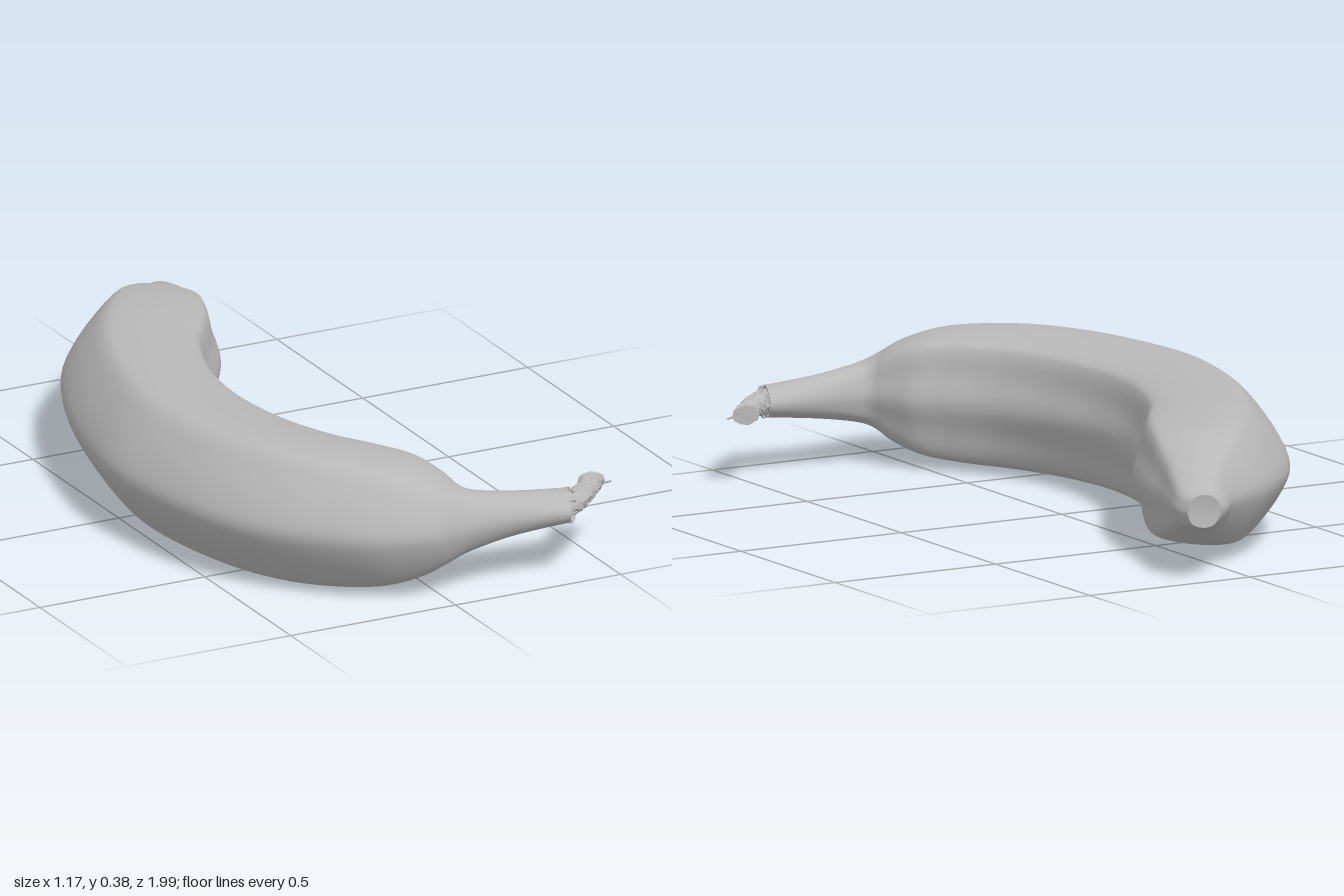
import * as THREE from 'three';

const MID = 0.197; // height of the fruit's mid plane

// Half outline of the ridged section: [across 0 outer..1 inner, relative height]
const HALF = [[0, 0], [0.055, 0.33], [0.18, 0.73], [0.27, 0.93], [0.33, 0.98], [0.5, 1],
  [0.72, 0.95], [0.86, 0.87], [0.905, 0.79], [0.95, 0.4], [1, 0]];
const sectionCurve = new THREE.CatmullRomCurve3(
  [...HALF, ...HALF.slice(1, -1).reverse().map(([u, v]) => [u, -v])].map(([u, v]) => new THREE.Vector3(u, v, 0)),
  true);

// Stations: outer x, outer z, inner x, inner z, half height, roundness
const BODY = [
  [0.09, -1, 0.18, -0.975, 0.045, 0.7],
  [0.05, -0.97, 0.187, -0.92, 0.057, 0.6],
  [0, -0.91, 0.16, -0.83, 0.085, 0.4],
  [-0.06, -0.87, 0.135, -0.74, 0.118, 0.2],
  [-0.2, -0.78, 0.11, -0.62, 0.16, 0],
  [-0.36, -0.6, 0.05, -0.46, 0.181, 0],
  [-0.48, -0.35, -0.065, -0.28, 0.188, 0],
  [-0.55, -0.1, -0.14, -0.08, 0.191, 0],
  [-0.585, 0.13, -0.165, 0.13, 0.191, 0],
  [-0.56, 0.37, -0.14, 0.34, 0.191, 0],
  [-0.5, 0.58, -0.08, 0.51, 0.191, 0],
  [-0.4, 0.75, 0, 0.63, 0.187, 0],
  [-0.25, 0.9, 0.06, 0.7, 0.172, 0.1],
  [-0.13, 0.96, 0.095, 0.775, 0.14, 0.3],
  [-0.04, 0.98, 0.115, 0.815, 0.105, 0.5],
  [0.05, 0.967, 0.15, 0.832, 0.082, 0.7],
  [0.2, 0.96, 0.25, 0.842, 0.06, 0.9],
  [0.36, 0.985, 0.41, 0.845, 0.042, 1],
];
const STUB = [
  [0.355, 0.965, 0.395, 0.87, 0.036, 1],
  [0.43, 0.93, 0.425, 0.845, 0.03, 1],
  [0.5, 0.86, 0.46, 0.815, 0.027, 1],
  [0.535, 0.82, 0.485, 0.785, 0.026, 1],
  [0.562, 0.79, 0.49, 0.768, 0.025, 1],
];

// Small repeatable noise in -1..1
const noise = (i, j) => {
  const s = Math.sin(i * 127.1 + j * 311.7) * 43758.5453;
  return (s - Math.floor(s)) * 2 - 1;
};

// Smooth value of one station column at t in 0..1
function sample(stations, t, column) {
  const f = t * (stations.length - 1);
  const i = Math.min(Math.floor(f), stations.length - 2);
  const at = k => stations[Math.max(0, Math.min(stations.length - 1, k))][column];
  const w = f - i, a = at(i - 1), b = at(i), c = at(i + 1), d = at(i + 2);
  return b + 0.5 * w * (c - a + w * (2 * a - 5 * b + 4 * c - d + w * (3 * (b - c) + d - a)));
}

// Skin the stations with rings, closing both ends with slightly dished caps
function loft(stations, rings, sides, rough = 0, dish = 0) {
  const pos = [], index = [];
  for (let i = 0; i <= rings; i++) {
    const [ox, oz, ix, iz, h, k] = [0, 1, 2, 3, 4, 5].map(c => sample(stations, i / rings, c));
    for (let j = 0; j < sides; j++) {
      const a = j / sides * Math.PI * 2;
      const p = sectionCurve.getPoint(j / sides);
      const r = 1 + rough * noise(i, j);
      const u = 0.5 + (THREE.MathUtils.lerp(p.x, 0.5 - 0.5 * Math.cos(a), k) - 0.5) * r;
      const v = THREE.MathUtils.lerp(p.y, Math.sin(a), k) * r;
      pos.push(ox + (ix - ox) * u, MID + v * h, oz + (iz - oz) * u);
    }
  }
  for (let i = 0; i < rings; i++) for (let j = 0; j < sides; j++) {
    const a = i * sides + j, b = i * sides + (j + 1) % sides;
    index.push(a, a + sides, b, b, a + sides, b + sides);
  }
  // Caps own their vertices, so the rim stays sharp
  for (const [ring, next, flip] of [[0, 1, false], [rings, rings - 1, true]]) {
    const centre = r => {
      const c = new THREE.Vector3();
      for (let j = 0; j < sides; j++) c.add(new THREE.Vector3().fromArray(pos, (r * sides + j) * 3));
      return c.divideScalar(sides);
    };
    const c = centre(ring);
    c.addScaledVector(centre(next).sub(c).normalize(), dish);
    const start = pos.length / 3;
    for (let j = 0; j < sides; j++) pos.push(...pos.slice((ring * sides + j) * 3, (ring * sides + j) * 3 + 3));
    pos.push(c.x, c.y, c.z);
    for (let j = 0; j < sides; j++) {
      const a = start + j, b = start + (j + 1) % sides;
      index.push(start + sides, flip ? b : a, flip ? a : b);
    }
  }
  const g = new THREE.BufferGeometry();
  g.setAttribute('position', new THREE.Float32BufferAttribute(pos, 3));
  g.setIndex(index);
  g.computeVertexNormals();
  return g;
}

export function createModel() {
  const group = new THREE.Group();
  group.name = 'banana';
  const grey = new THREE.MeshStandardMaterial({ color: 0xb8b8b8 });
  grey.name = 'plain grey';
  const add = (name, geometry) => {
    const mesh = new THREE.Mesh(geometry, grey);
    mesh.name = name;
    group.add(mesh);
  };

  // Peel from blossom tip to stem
  add('peel', loft(BODY, 102, 80, 0, 0.008));

  // Rough, torn stem end with faceted faces
  const stub = loft(STUB, 28, 20, 0.1).toNonIndexed();
  stub.computeVertexNormals();
  add('tornStem', stub);

  // Loose fibres around the stem rim and at the torn end
  for (let i = 0; i < 8; i++) {
    const a = i / 8 * Math.PI * 2;
    const x = 0.385 - 0.023 * Math.cos(a), z = 0.915 + 0.066 * Math.cos(a), y = MID + 0.038 * Math.sin(a);
    const path = new THREE.CatmullRomCurve3([
      new THREE.Vector3(x - 0.015, y, z),
      new THREE.Vector3(x + 0.005, y + 0.006 * Math.sin(a), z),
      new THREE.Vector3(x + 0.02, y - 0.008 * Math.sin(a), z - 0.01 + 0.008 * noise(i, 3)),
    ]);
    add('rimFibre', new THREE.TubeGeometry(path, 6, 0.003, 5));
  }
  for (let i = 0; i < 4; i++) {
    const y = MID + 0.016 * noise(i, 7);
    const path = new THREE.LineCurve3(
      new THREE.Vector3(0.5 + i * 0.014, y, 0.79 + i * 0.004),
      new THREE.Vector3(0.508 + i * 0.024, y + 0.006 * noise(i, 9), 0.765 + i * 0.008));
    add('endFibre', new THREE.TubeGeometry(path, 1, 0.003, 5));
  }
  return group;
}
